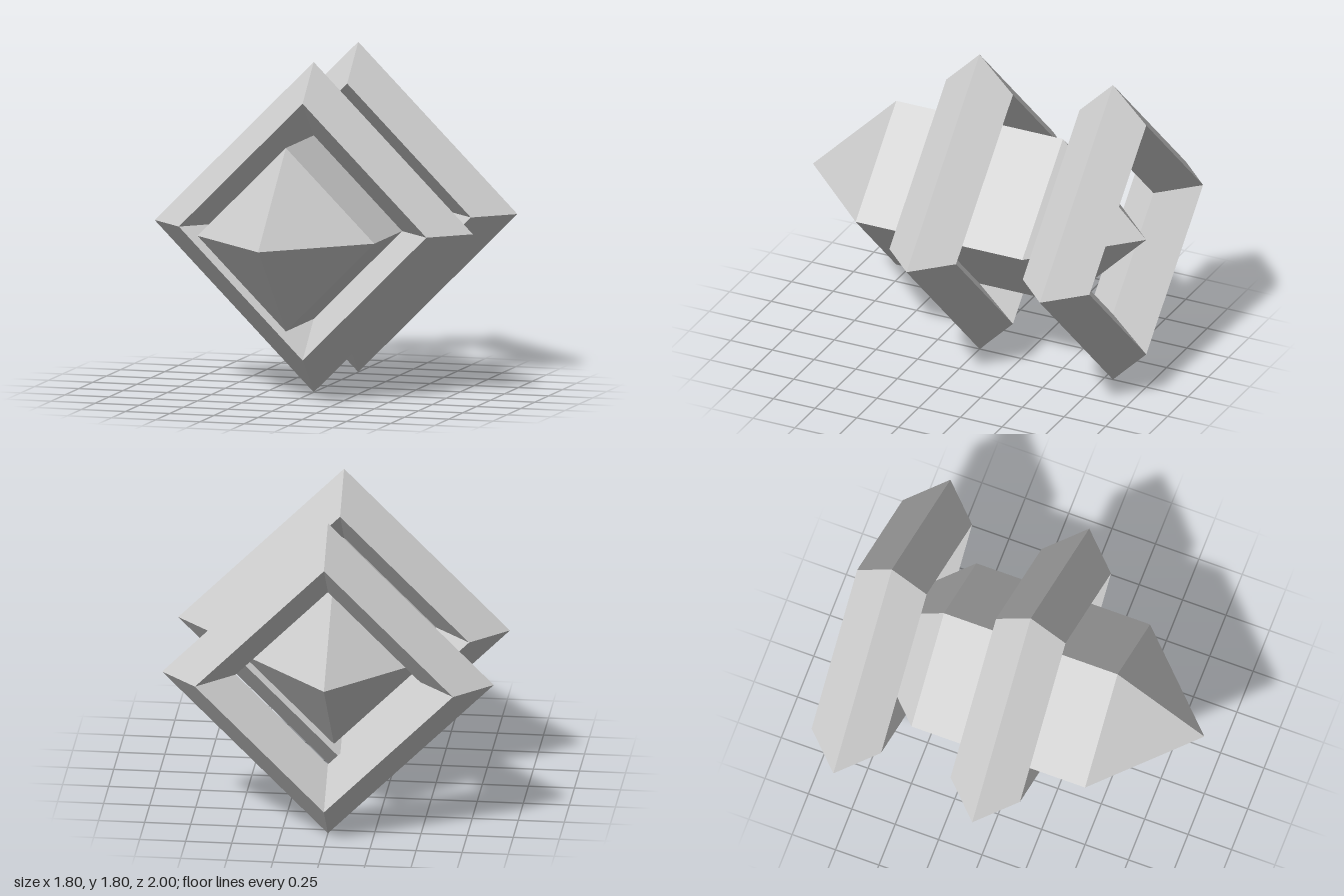
import * as THREE from 'three';

export function createModel() {
  const group = new THREE.Group();
  const material = new THREE.MeshStandardMaterial({ color: 0xcccccc, flatShading: true });
  const centreY = 0.9;

  function add(name, geometry, z) {
    const mesh = new THREE.Mesh(geometry, material);
    mesh.name = name;
    mesh.position.set(0, centreY, z);
    group.add(mesh);
  }

  // Four-sided body with a pyramid at each end, lying along z
  const profile = [[0, -1], [0.5, -0.5], [0.5, 0.5], [0, 1]].map(([r, h]) => new THREE.Vector2(r, h));
  add('body', new THREE.LatheGeometry(profile, 4).rotateX(Math.PI / 2), 0);

  // Diamond rings with a diamond cross-section
  const ring = new THREE.TorusGeometry(0.7, 0.2, 4, 4);
  add('middleRing', ring, 0);
  add('backRing', ring, -0.8);

  return group;
}
